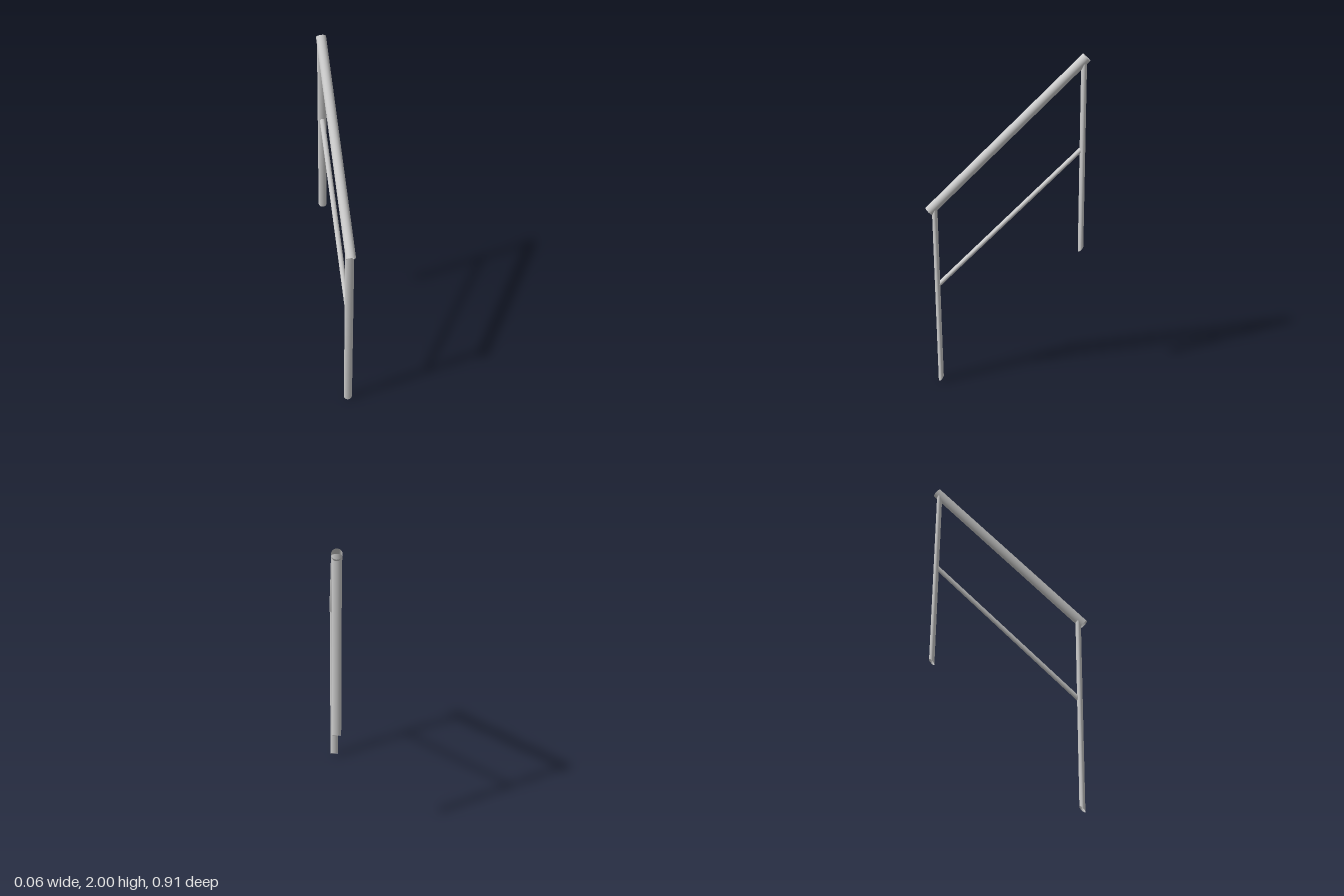
import * as THREE from 'three';

const material = new THREE.MeshStandardMaterial({ color: 0xcccccc, side: THREE.DoubleSide });

// Open pipe in the x = 0 plane from start to end, both given as [y, z].
// The end cut is an ellipse with half-axes radiusX along x and cut = [y, z],
// so an oblique cut gives a mitred pipe.
function pipe(name, start, end, radiusX, cut) {
  const geometry = new THREE.CylinderGeometry(1, 1, 1, 24, 1, true).translate(0, 0.5, 0);
  const matrix = new THREE.Matrix4().makeBasis(
    new THREE.Vector3(radiusX, 0, 0),
    new THREE.Vector3(0, end[0] - start[0], end[1] - start[1]),
    new THREE.Vector3(0, cut[0], cut[1])
  );
  matrix.setPosition(0, start[0], start[1]);
  geometry.applyMatrix4(matrix);
  const mesh = new THREE.Mesh(geometry, material);
  mesh.name = name;
  return mesh;
}

export function createModel() {
  const group = new THREE.Group();
  group.name = 'stairHandrail';

  // Sloping top rail, cut square at both ends
  group.add(pipe('handrail', [1.11, 0.435], [1.98, -0.435], 0.028, [0.02, 0.02]));

  // Slightly leaning posts, mitred along the slope of the stair
  const postCut = [-0.0155, 0.0155];
  group.add(pipe('frontPost', [0.0155, 0.394], [1.14, 0.404], 0.025, postCut));
  group.add(pipe('backPost', [0.853, -0.434], [1.966, -0.421], 0.025, postCut));

  // Thinner middle rail, ending inside the posts
  group.add(pipe('middleRail', [0.645, 0.395], [1.468, -0.428], 0.015, [0.0185, 0]));

  return group;
}
